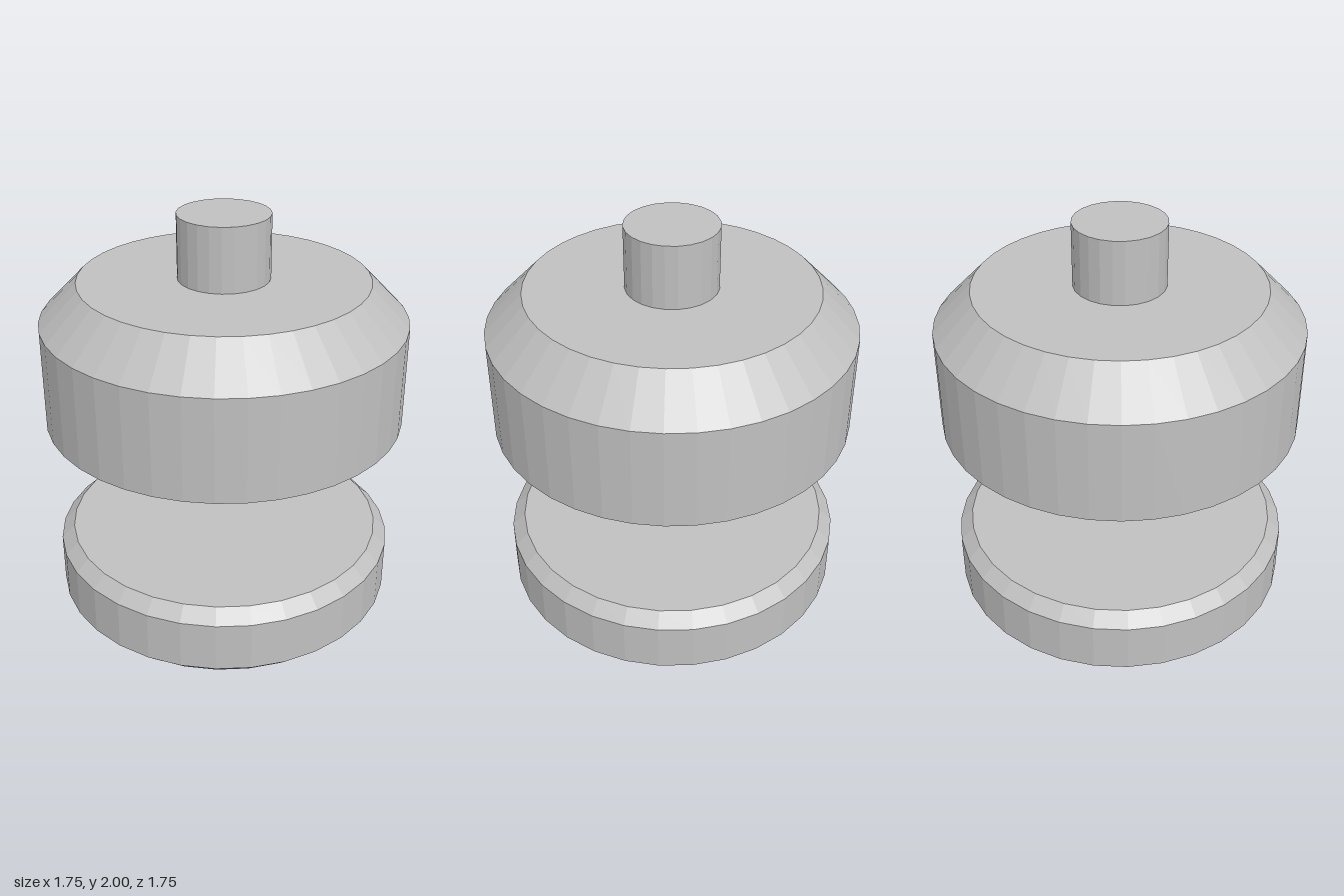
import * as THREE from 'three';

export function createModel() {
  const group = new THREE.Group();
  const grey = new THREE.MeshStandardMaterial({ color: 0xc0c0c0, flatShading: true });
  grey.name = 'plain grey';

  // Turned solid from a bottom-to-top profile of [radius, height]
  function turned(name, profile, sides) {
    const points = profile.map(([r, y]) => new THREE.Vector2(r, y));
    const mesh = new THREE.Mesh(new THREE.LatheGeometry(points, sides), grey);
    mesh.name = name;
    group.add(mesh);
  }

  // Lower disc, bevelled on both rims
  turned('lowerDisc', [
    [0, 0], [0.78, 0], [0.845, 0.063], [0.845, 0.313], [0.78, 0.375], [0, 0.375],
  ], 32);

  // Upper body with a wide sloping shoulder, floating above the disc
  turned('upperBody', [
    [0, 1], [0.875, 1], [0.875, 1.5], [0.69, 1.69], [0, 1.69],
  ], 40);

  // Stem on top
  turned('stem', [[0, 1.69], [0.22, 1.69], [0.22, 2], [0, 2]], 24);

  return group;
}
